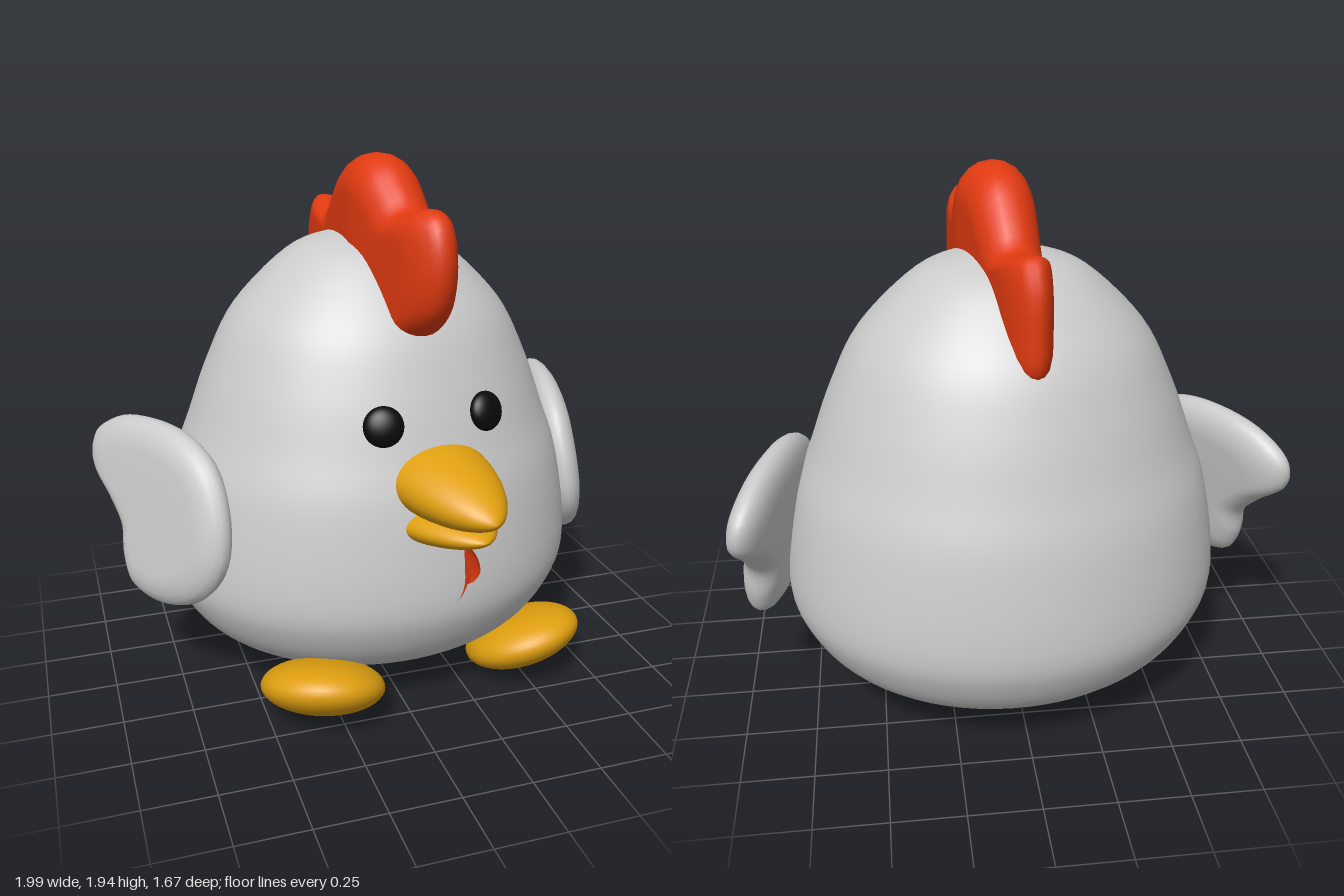
import * as THREE from 'three';

const paint = (color) => new THREE.MeshStandardMaterial({ color });
const grey = paint(0xcccccc), red = paint(0xe03a10), yellow = paint(0xe0a010), black = paint(0x0a0a0a);

// Rounded slab: smooth closed outline of [z, y] points, thickness along x, soft rim
function puff(outline, [cz, cy], band, halfThickness) {
  const n = 72, steps = 10;
  const curve = new THREE.CatmullRomCurve3(outline.map(([z, y]) => new THREE.Vector3(0, y, z)), true);
  const rim = curve.getPoints(n).slice(0, n);
  const rings = [[0, 1], [(1 - band) / 2, 1]];
  for (let k = 0; k <= steps; k++) {
    const a = (k / steps) * Math.PI;
    rings.push([1 - band + band * Math.sin(a), Math.cos(a)]);
  }
  rings.push([(1 - band) / 2, -1], [0, -1]);
  const pos = [], idx = [];
  rings.forEach(([s, w], j) => rim.forEach((p, i) => {
    const y = cy + (p.y - cy) * s, z = cz + (p.z - cz) * s;
    pos.push(w * halfThickness(z, y), y, z);
    if (j === rings.length - 1) return;
    const a = j * n + i, b = j * n + (i + 1) % n;
    idx.push(a, b, a + n, b, b + n, a + n);
  }));
  const g = new THREE.BufferGeometry();
  g.setAttribute('position', new THREE.Float32BufferAttribute(pos, 3));
  g.setIndex(idx);
  g.computeVertexNormals();
  return g;
}

// Blunt tapering half-beak pointing along +z
function beakHalf(rx, ry, length, tilt) {
  const pts = [];
  for (let i = 0; i <= 24; i++) {
    const t = Math.sin((i / 24) * Math.PI / 2);
    pts.push(new THREE.Vector2(Math.pow(Math.max(0, 1 - Math.pow(t, 1.8)), 0.65), t));
  }
  return new THREE.LatheGeometry(pts, 40).scale(rx, length, ry).rotateX(Math.PI / 2 + tilt);
}

export function createModel() {
  const model = new THREE.Group();
  model.name = 'chicken';
  // The whole bird is turned slightly to its left
  const bird = new THREE.Group();
  bird.name = 'bird';
  bird.position.x = 0.049;
  bird.rotation.y = 0.13;
  model.add(bird);

  const add = (name, geometry, material, x = 0, y = 0, z = 0, parent = bird) => {
    const mesh = new THREE.Mesh(geometry, material);
    mesh.name = name;
    mesh.position.set(x, y, z);
    parent.add(mesh);
    return mesh;
  };

  // Egg-shaped body
  const profile = new THREE.SplineCurve([
    [0, 0.05], [0.22, 0.058], [0.43, 0.095], [0.65, 0.195], [0.765, 0.34], [0.8, 0.5], [0.755, 0.8],
    [0.685, 1.0], [0.61, 1.2], [0.505, 1.4], [0.31, 1.59], [0.16, 1.65], [0, 1.667],
  ].map(([r, y]) => new THREE.Vector2(r, y))).getPoints(60);
  profile.forEach((p) => { p.x = Math.max(0, p.x); });
  add('body', new THREE.LatheGeometry(profile, 72).scale(1, 1, 0.89), grey, 0, 0, -0.13);

  // Three-lobed comb, thinner at both ends
  add('comb', puff([
    [0.34, 1.37], [0.45, 1.47], [0.49, 1.62], [0.455, 1.76], [0.38, 1.8], [0.25, 1.785], [0.17, 1.85],
    [0.08, 1.92], [-0.03, 1.945], [-0.17, 1.91], [-0.28, 1.81], [-0.37, 1.72], [-0.47, 1.73],
    [-0.55, 1.735], [-0.605, 1.65], [-0.62, 1.5], [-0.605, 1.36], [-0.35, 1.25], [0.1, 1.25],
  ], [-0.05, 1.45], 0.28, (z) => 0.13 - 0.1 * Math.min(Math.abs(z), 0.65)), red);

  // Beak and wattle
  add('upperBeak', beakHalf(0.188, 0.125, 0.42, 0.07), yellow, 0, 0.9, 0.42);
  add('lowerBeak', beakHalf(0.178, 0.08, 0.36, -0.09), yellow, 0, 0.75, 0.42);
  add('wattle', puff([
    [0.5, 0.72], [0.62, 0.72], [0.7, 0.695], [0.725, 0.655], [0.7, 0.61], [0.64, 0.565], [0.6, 0.49],
    [0.57, 0.465], [0.51, 0.5],
  ].reverse(), [0.58, 0.62], 0.6, () => 0.052), red, -0.005);
  bird.getObjectByName('wattle').geometry.index.array.reverse();
  bird.getObjectByName('wattle').geometry.computeVertexNormals();

  // Wing, outlined around its own centre
  const wingShape = puff([
    [-0.23, 1.03], [-0.45, 1.0], [-0.58, 0.91], [-0.58, 0.81], [-0.46, 0.7], [-0.37, 0.6], [-0.345, 0.48],
    [-0.29, 0.39], [-0.13, 0.37], [0.05, 0.44], [0.15, 0.58], [0.15, 0.75], [0.07, 0.92], [-0.05, 1.0],
  ], [-0.17, 0.7], 0.35, () => 0.068).translate(0, -0.7, 0.17).scale(1, 1, 1.04);

  // Mirrored pairs: wings, eyes and feet
  for (const [side, s] of [['left', 1], ['right', -1]]) {
    const half = new THREE.Group();
    half.name = side + 'Side';
    half.scale.x = s;
    bird.add(half);

    add(side + 'Wing', wingShape, grey, 0.825, 0.7, -0.08, half).rotation.set(0, -0.4, 0.16);

    const eye = add(side + 'Eye', new THREE.SphereGeometry(1, 32, 20), black, 0.197, 1.1, 0.425, half);
    eye.scale.set(0.07, 0.07, 0.04);
    eye.rotation.set(-0.3, 0.3, 0);

    const foot = add(side + 'Foot', new THREE.SphereGeometry(1, 40, 24), yellow, 0.415, 0.143, 0.39, half);
    foot.scale.set(0.22, 0.1, 0.235);
    foot.rotation.set(-0.4, 0, 0.2);
  }
  return model;
}
